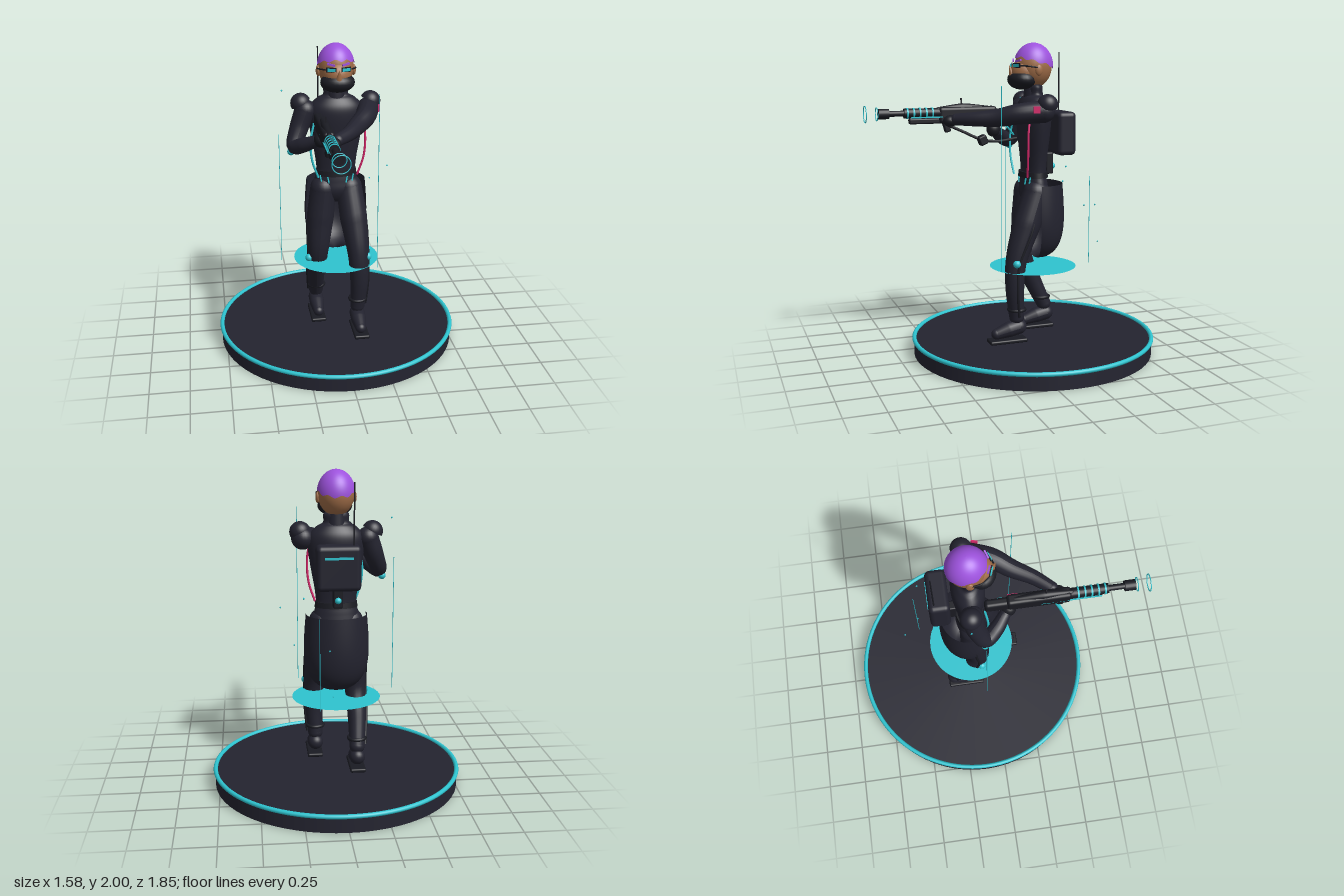
import * as THREE from 'three';
import { RoundedBoxGeometry } from 'three/addons/geometries/RoundedBoxGeometry.js';
import { ParametricGeometry } from 'three/addons/geometries/ParametricGeometry.js';

const mat = (name, color, side = THREE.FrontSide) => {
  const m = new THREE.MeshStandardMaterial({ color, side });
  m.name = name;
  return m;
};
const V = (a) => new THREE.Vector3(...a);

export function createModel() {
  const root = new THREE.Group();
  root.name = 'armedFigureOnStand';
  const suit = mat('suit', 0x23232f, THREE.DoubleSide);
  const metal = mat('gunMetal', 0x1a1b22);
  const teal = mat('teal', 0x2ec4d0, THREE.DoubleSide);
  const skin = mat('skin', 0xa06d48);
  const purple = mat('purple', 0x9d52dd, THREE.DoubleSide);
  const pink = mat('pink', 0xd8286c);

  const add = (name, geo, m, pos = [0, 0, 0], rot = [0, 0, 0], scale = [1, 1, 1]) => {
    const mesh = new THREE.Mesh(geo, m);
    mesh.name = name;
    mesh.position.set(...pos);
    mesh.rotation.set(...rot);
    mesh.scale.set(...scale);
    root.add(mesh);
    return mesh;
  };
  const box = (name, m, size, pos, rot) => add(name, new THREE.BoxGeometry(...size), m, pos, rot);
  const ball = (name, m, r, pos, scale) => add(name, new THREE.SphereGeometry(r, 24, 16), m, pos, [0, 0, 0], scale);
  const rbox = (name, m, size, r, pos, rot) => add(name, new RoundedBoxGeometry(...size, 3, r), m, pos, rot);
  const hose = (name, m, r, pts) =>
    add(name, new THREE.TubeGeometry(new THREE.CatmullRomCurve3(pts.map(V)), 24, r, 8), m);

  // Tapered tube through points, with a radius at each point and rounded ends
  const limb = (name, m, pts, radii) => {
    const curve = new THREE.CatmullRomCurve3(pts.map(V));
    const seg = 28, ring = 20, n = radii.length - 1;
    const geo = new THREE.TubeGeometry(curve, seg, 1, ring);
    const p = geo.attributes.position, v = new THREE.Vector3();
    for (let i = 0; i <= seg; i++) {
      const c = curve.getPointAt(i / seg);
      const t = curve.getUtoTmapping(i / seg) * n, k = Math.min(Math.floor(t), n - 1);
      const r = THREE.MathUtils.lerp(radii[k], radii[k + 1], t - k);
      for (let j = 0; j <= ring; j++) {
        const q = i * (ring + 1) + j;
        v.fromBufferAttribute(p, q).sub(c).multiplyScalar(r).add(c);
        p.setXYZ(q, v.x, v.y, v.z);
      }
    }
    geo.computeVertexNormals();
    add(name, geo, m);
    ball(name + 'Start', m, radii[0], pts[0]);
    ball(name + 'End', m, radii[n], pts[n]);
  };

  // Stand with glowing rim and floating disc
  const cz = -0.13;
  add('stand', new THREE.CylinderGeometry(0.775, 0.78, 0.1, 64), suit, [0, 0.055, cz]);
  add('standRim', new THREE.TorusGeometry(0.778, 0.014, 10, 96), teal, [0, 0.106, cz], [Math.PI / 2, 0, 0]);
  add('floatingDisc', new THREE.CircleGeometry(0.28, 64), teal, [0, 0.57, cz], [-Math.PI / 2, 0, 0]);

  // Legs: left one forward, right one back
  const legs = [
    { s: 1, knee: [0.125, 0.63, 0.03], calf: [0.13, 0.46, 0.04], ankle: [0.122, 0.27, 0.025], heel: 0.01, pad: [0.185, 0.63, 0.045] },
    { s: -1, knee: [-0.125, 0.62, -0.1], calf: [-0.13, 0.46, -0.165], ankle: [-0.122, 0.27, -0.255], heel: -0.27, pad: [-0.187, 0.59, -0.08] },
  ];
  for (const { s, knee, calf, ankle, heel, pad } of legs) {
    const side = s > 0 ? 'left' : 'right';
    limb(side + 'Leg', suit, [[s * 0.085, 1.06, cz + 0.01], [s * 0.105, 0.87, (cz + knee[2]) / 2], knee, calf, ankle],
      [0.085, 0.09, 0.067, 0.06, 0.048]);
    limb(side + 'Boot', suit, [[s * 0.122, 0.205, heel], [s * 0.122, 0.19, heel + 0.07], [s * 0.122, 0.168, heel + 0.15]],
      [0.05, 0.05, 0.035]);
    rbox(side + 'Sole', metal, [0.1, 0.025, 0.25], 0.01, [s * 0.125, 0.122, heel + 0.08]);
    add(side + 'AnkleBand', new THREE.TorusGeometry(0.052, 0.011, 8, 28), metal,
      [ankle[0], 0.32, ankle[2] + (s < 0 ? 0.02 : 0)], [Math.PI / 2, 0, 0]);
    ball(side + 'KneeLight', teal, 0.025, pad);
    hose(side + 'LegCable', metal, 0.009, [[s * 0.165, 0.98, cz + 0.03], [s * 0.19, 0.82, (cz + knee[2]) / 2],
      [s * 0.19, 0.62, knee[2]], [s * 0.19, 0.46, calf[2]], [s * 0.175, 0.28, ankle[2]]]);
  }

  // Torso, hips and collar
  const profile = [[0.001, 0.96], [0.09, 0.98], [0.15, 1.05], [0.14, 1.12], [0.126, 1.18], [0.135, 1.28], [0.16, 1.42],
    [0.175, 1.54], [0.165, 1.61], [0.12, 1.66], [0.08, 1.685], [0.075, 1.74], [0.001, 1.745]];
  add('torso', new THREE.LatheGeometry(new THREE.SplineCurve(profile.map((p) => new THREE.Vector2(...p)))
    .getPoints(60), 40), suit, [0, 0, cz - 0.002], [0, 0, 0], [1, 1, 0.58]);
  add('belt', new THREE.CylinderGeometry(0.13, 0.135, 0.035, 40), metal, [0, 1.175, cz], [0, 0, 0], [1, 1, 0.66]);
  add('neck', new THREE.CylinderGeometry(0.055, 0.065, 0.12, 24), suit, [0, 1.7, cz]);
  for (const x of [-0.105, -0.06, 0.06, 0.1])
    box('beltLight', teal, [0.008, 0.05, 0.008], [x, 1.14, cz + 0.095 - Math.abs(x) * 0.35], [-0.1, 0, x > 0 ? -0.2 : 0.2]);

  // Rounded coat tail wrapping the back
  add('coatTail', new ParametricGeometry((u, v, t) => {
    const a = (u - 0.5) * 3.5, k = Math.max(0.05, Math.sqrt(1 - v ** 6)) * (0.93 + 0.07 * Math.sin(v * Math.PI));
    t.set(0.205 * k * Math.sin(a), 1.115 - 0.495 * v, -0.148 - 0.182 * k * Math.cos(a));
  }, 32, 24), suit);

  // Head with mask, glasses and hair
  ball('head', skin, 1, [0, 1.858, -0.13], [0.112, 0.138, 0.118]);
  ball('face', skin, 1, [0, 1.82, -0.075], [0.09, 0.09, 0.095]);
  add('nose', new THREE.ConeGeometry(0.022, 0.07, 12), skin, [0, 1.835, 0.022], [0.35, 0, 0]);
  ball('mask', metal, 1, [0, 1.775, -0.052], [0.108, 0.063, 0.09]);
  add('hair', new ParametricGeometry((u, v, t) => {
    const a = -2 * Math.PI * u, f = Math.cos(a);
    const th = v * (1.4 - 0.24 * f + 0.05 * Math.sin(9 * a));
    t.set(0.118 * Math.sin(th) * Math.sin(a), 1.858 + 0.146 * Math.cos(th), -0.13 + 0.126 * Math.sin(th) * f);
  }, 72, 14), purple);
  for (const s of [-1, 1]) {
    ball('ear', skin, 0.035, [s * 0.112, 1.835, -0.125], [0.4, 1, 0.7]);
    box('eyeLens', teal, [0.05, 0.018, 0.008], [s * 0.046, 1.863, 0.004], [0, s * 0.35, 0]);
    box('glassesFrame', metal, [0.066, 0.03, 0.006], [s * 0.046, 1.863, -0.002], [0, s * 0.35, 0]);
    box('eyebrow', purple, [0.05, 0.012, 0.01], [s * 0.046, 1.893, -0.012], [0, s * 0.35, s * 0.2]);
    hose('glassesArm', metal, 0.005, [[s * 0.077, 1.863, -0.012], [s * 0.112, 1.86, -0.06], [s * 0.119, 1.85, -0.125]]);
    // Tilted shoulder shell and chest lights
    add('shoulderPad', new THREE.SphereGeometry(0.065, 28, 12, 0, Math.PI * 2, 0, Math.PI / 2), suit,
      [s * 0.222, 1.628, cz - 0.01], [0, 0, -s * 0.5]);
    box('shoulderLight', teal, [0.01, 0.01, 0.05], [s * 0.2, 1.655, cz]);
  }

  // Arms: left one reaching to the barrel, right one bent at the trigger
  limb('leftArm', suit, [[0.205, 1.585, -0.12], [0.16, 1.57, 0.03], [0.09, 1.545, 0.14], [0.02, 1.535, 0.26], [-0.06, 1.53, 0.36]],
    [0.07, 0.064, 0.056, 0.045, 0.037]);
  ball('leftHand', metal, 0.045, [-0.09, 1.52, 0.39], [1, 0.8, 1.1]);
  limb('rightArm', suit, [[-0.195, 1.585, -0.13], [-0.24, 1.47, -0.11], [-0.272, 1.375, -0.06], [-0.22, 1.4, 0.01], [-0.15, 1.44, 0.07]],
    [0.068, 0.06, 0.05, 0.047, 0.036]);
  ball('rightHand', metal, 0.044, [-0.13, 1.455, 0.095], [0.9, 1.1, 1]);
  ball('elbowLight', teal, 0.024, [-0.295, 1.335, -0.07]);
  box('armPatch', pink, [0.008, 0.04, 0.04], [0.262, 1.6, -0.055], [0, -0.25, 0]);

  // Gun along z
  const gx = -0.125, gy = 1.57;
  const barrel = (name, r, z0, z1, y = gy, m = metal) =>
    add(name, new THREE.CylinderGeometry(r, r, z1 - z0, 20), m, [gx, y, (z0 + z1) / 2], [Math.PI / 2, 0, 0]);
  barrel('muzzle', 0.032, 0.775, 0.84);
  barrel('barrel', 0.018, 0.64, 0.8);
  barrel('barrelSleeve', 0.03, 0.44, 0.68);
  for (let i = 0; i < 5; i++) barrel('coolingRing', 0.034, 0.495 + i * 0.04, 0.505 + i * 0.04, gy, teal);
  rbox('receiver', metal, [0.07, 0.1, 0.38], 0.02, [gx, 1.555, 0.27]);
  rbox('stock', metal, [0.055, 0.085, 0.16], 0.02, [gx, 1.545, 0.03]);
  limb('topCover', metal, [[gx, 1.59, 0.46], [gx, 1.6, 0.3], [gx, 1.59, 0.12]], [0.015, 0.026, 0.015]);
  box('sight', metal, [0.008, 0.04, 0.008], [gx, 1.64, 0.31]);
  rbox('lowerRail', metal, [0.04, 0.035, 0.26], 0.01, [gx, 1.52, 0.52]);
  for (const s of [-1, 1]) box('railLight', teal, [0.006, 0.008, 0.36], [gx + s * 0.032, 1.545, 0.46]);
  rbox('foreGrip', metal, [0.035, 0.09, 0.04], 0.01, [gx, 1.49, 0.41], [0.3, 0, 0]);
  rbox('gunGrip', metal, [0.035, 0.12, 0.045], 0.01, [gx, 1.47, 0.11], [0.35, 0, 0]);
  rbox('powerCell', metal, [0.06, 0.06, 0.055], 0.01, [-0.06, 1.395, 0.19], [0.4, 0, 0]);
  hose('cellCable', metal, 0.009, [[-0.11, 1.5, 0.42], [-0.08, 1.45, 0.31], [-0.06, 1.4, 0.2], [-0.05, 1.385, 0.09], [-0.06, 1.4, -0.04]]);
  hose('gunHose', teal, 0.006, [[-0.1, 1.53, 0.12], [-0.07, 1.49, 0.04], [-0.09, 1.42, -0.03]]);
  box('gunMark', pink, [0.008, 0.03, 0.06], [-0.086, 1.56, 0.12]);
  for (const [r, z] of [[0.04, 0.85], [0.051, 0.922]])
    add('energyRing', new THREE.TorusGeometry(r, 0.003, 6, 40), teal, [gx, gy, z]);

  // Hoses on the body
  hose('pinkHose', pink, 0.007, [[0.15, 1.57, -0.055], [0.172, 1.45, -0.035], [0.165, 1.3, -0.035], [0.125, 1.17, -0.045]]);
  hose('tealHose', teal, 0.007, [[-0.15, 1.52, -0.05], [-0.174, 1.4, -0.035], [-0.165, 1.28, -0.035], [-0.125, 1.16, -0.045]]);

  // Backpack, antenna and back light
  rbox('backpack', suit, [0.27, 0.275, 0.125], 0.03, [0.005, 1.435, -0.312]);
  box('packLight', teal, [0.17, 0.014, 0.006], [0.005, 1.5, -0.376]);
  add('antenna', new THREE.CylinderGeometry(0.004, 0.005, 0.4, 8), metal, [-0.087, 1.745, -0.34]);
  rbox('spineBlock', metal, [0.06, 0.14, 0.05], 0.01, [0, 1.24, -0.235]);
  ball('spineLight', teal, 0.02, [0, 1.22, -0.262]);

  // Floating light streaks and sparks
  for (const [x, z, y0, y1] of [[0.225, 0.16, 0.6, 1.745], [-0.37, -0.07, 0.59, 1.45], [0.13, -0.47, 0.59, 1.16]])
    add('lightStreak', new THREE.CylinderGeometry(0.002, 0.002, y1 - y0, 6), teal, [x, (y0 + y1) / 2, z]);
  for (const p of [[-0.34, 1.71, -0.15], [0.35, 1.17, -0.19], [0.28, 1.0, -0.44], [0.07, 0.96, -0.46],
    [0.06, 0.71, -0.565], [0.21, 1.24, -0.27]])
    add('spark', new THREE.OctahedronGeometry(0.007), teal, p);
  return root;
}
